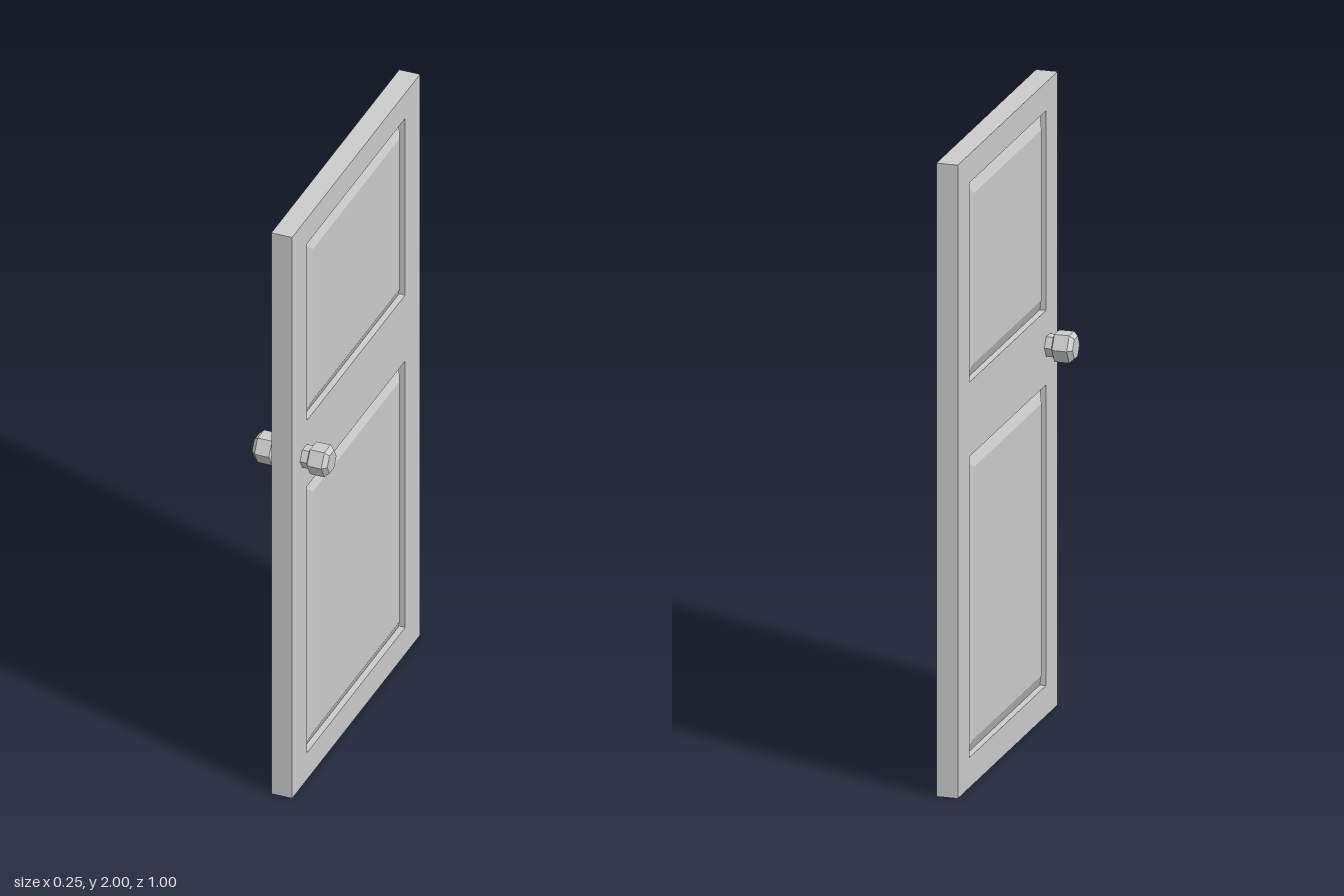
import * as THREE from 'three';

const HALF = 0.034;    // half the door thickness
const GROOVE = 0.02;   // depth of the groove round each panel
const BEVEL = 0.046;   // width of the sloping panel border
const PANEL_Z = 0.384; // half the panel width
const PANELS = [
  { name: 'upperPanel', y0: 1.28, y1: 1.91 },
  { name: 'lowerPanel', y0: 0.095, y1: 1.045 },
];

const material = new THREE.MeshStandardMaterial({ color: 0xcccccc, flatShading: true });

function part(name, geometry) {
  const mesh = new THREE.Mesh(geometry, material);
  mesh.name = name;
  return mesh;
}

function rectangle(path, halfWidth, y0, y1) {
  path.moveTo(-halfWidth, y0);
  path.lineTo(halfWidth, y0);
  path.lineTo(halfWidth, y1);
  path.lineTo(-halfWidth, y1);
  path.closePath();
  return path;
}

// Flat slab with a rectangular opening for each panel
function frameGeometry() {
  const shape = rectangle(new THREE.Shape(), 0.5, 0, 2);
  for (const { y0, y1 } of PANELS) shape.holes.push(rectangle(new THREE.Path(), PANEL_Z, y0, y1));
  return new THREE.ExtrudeGeometry(shape, { depth: HALF * 2, bevelEnabled: false })
    .translate(0, 0, -HALF)
    .rotateY(Math.PI / 2);
}

// Raised panel: four layers through the thickness, the outer two drawn in to form bevels
function panelGeometry(height) {
  const geometry = new THREE.BoxGeometry(HALF * 2, height, PANEL_Z * 2, 3, 1, 1);
  const p = geometry.attributes.position;
  for (let i = 0; i < p.count; i++) {
    const x = p.getX(i);
    if (Math.abs(x) > HALF * 0.9) {
      p.setY(i, p.getY(i) - Math.sign(p.getY(i)) * BEVEL);
      p.setZ(i, p.getZ(i) - Math.sign(p.getZ(i)) * BEVEL);
    } else {
      p.setX(i, Math.sign(x) * (HALF - GROOVE));
    }
  }
  geometry.computeVertexNormals();
  return geometry;
}

// Six-sided stem and chamfered knob, turned about y
function knobGeometry() {
  const profile = [
    [0.036, HALF - 0.004], [0.036, 0.056], [0.05, 0.062],
    [0.05, 0.109], [0.036, 0.123], [0, 0.123],
  ];
  return new THREE.LatheGeometry(profile.map(([r, y]) => new THREE.Vector2(r, y)), 6);
}

export function createModel() {
  const door = new THREE.Group();
  door.name = 'door';
  door.add(part('doorFrame', frameGeometry()));

  for (const { name, y0, y1 } of PANELS) {
    const panel = part(name, panelGeometry(y1 - y0));
    panel.position.y = (y0 + y1) / 2;
    door.add(panel);
  }

  // A knob on each face
  for (const side of [1, -1]) {
    const knob = part(side > 0 ? 'leftKnob' : 'rightKnob', knobGeometry());
    knob.rotation.z = -side * Math.PI / 2;
    knob.position.set(0, 1.165, 0.403);
    door.add(knob);
  }
  return door;
}
